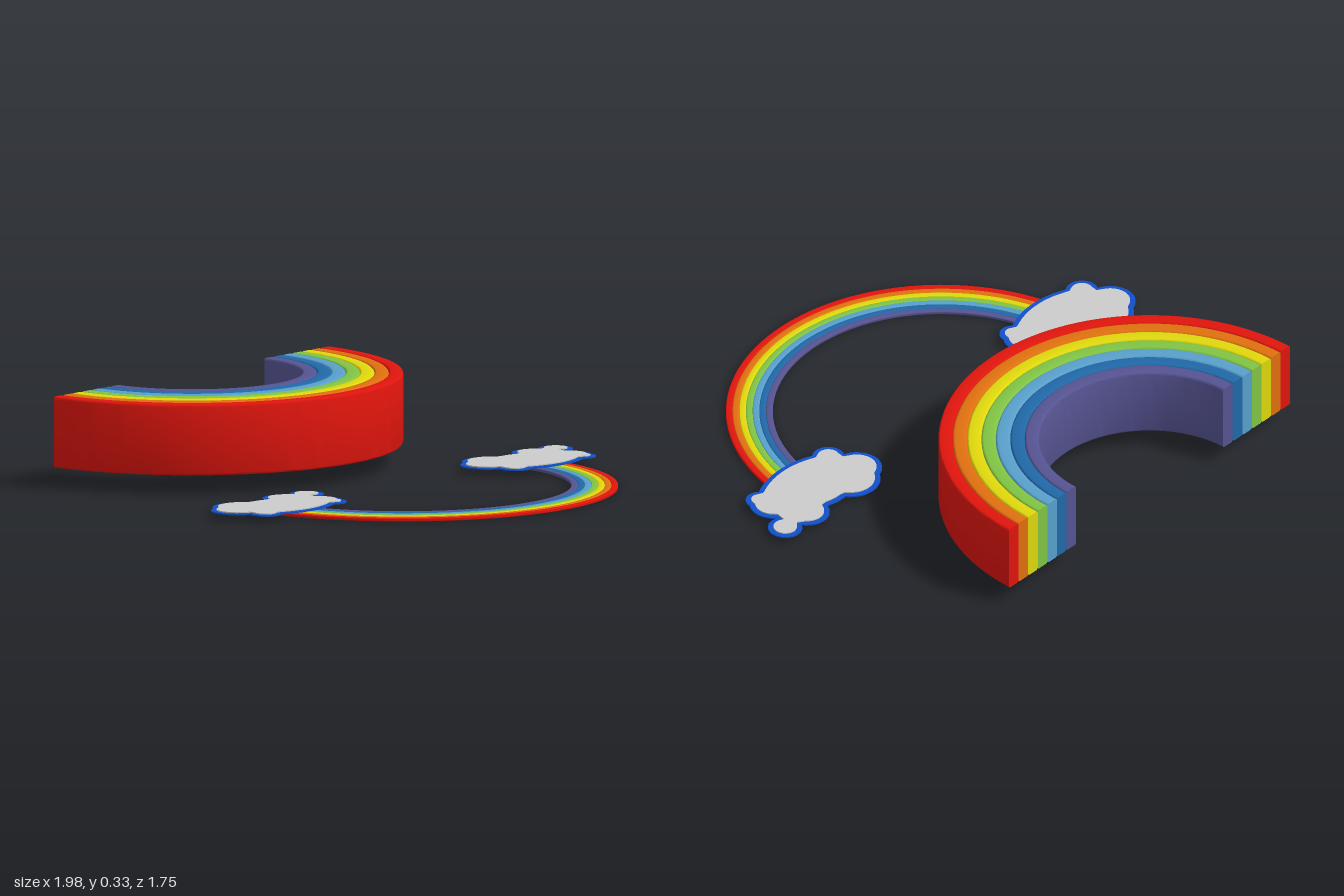
import * as THREE from 'three';
import { mergeGeometries, toCreasedNormals } from 'three/addons/utils/BufferGeometryUtils.js';

// Band colours from the outside in
const COLORS = [0xe0150d, 0xe0700f, 0xe0d80c, 0x80c444, 0x58a0cc, 0x2068a8, 0x565492];

const material = (color) => new THREE.MeshStandardMaterial({ color });

// Rectangular cross-section with rounded corners, counter-clockwise in (radius, height)
function bandProfile(r0, r1, y0, y1, b) {
  const corners = [[r0 + b, y0 + b, 2], [r1 - b, y0 + b, 3], [r1 - b, y1 - b, 0], [r0 + b, y1 - b, 1]];
  const pts = [];
  for (const [x, y, quarter] of corners) {
    for (let i = 0; i <= 3; i++) {
      const a = (quarter + i / 3) * Math.PI / 2;
      pts.push(new THREE.Vector2(x + b * Math.cos(a), y + b * Math.sin(a)));
    }
  }
  return pts;
}

// Half ring on the +z side, closed by flat ends at z = 0
function halfRing(r0, r1, y0, y1, bevel) {
  const profile = bandProfile(r0, r1, y0, y1, bevel);
  const sweep = new THREE.LatheGeometry([...profile, profile[0].clone()], 64, -Math.PI / 2, Math.PI);
  const parts = [toCreasedNormals(sweep, 0.7)];
  for (const side of [1, -1]) {
    const end = new THREE.Shape(profile.map((p) => new THREE.Vector2(p.x * side, p.y)));
    parts.push(new THREE.ShapeGeometry(end).rotateY(Math.PI).toNonIndexed());
  }
  return mergeGeometries(parts);
}

function rainbow(name, inner, outer, y0, y1, bevel) {
  const group = new THREE.Group();
  group.name = name;
  const w = (outer - inner) / COLORS.length;
  COLORS.forEach((color, i) => {
    const r1 = outer - i * w;
    const band = new THREE.Mesh(halfRing(r1 - w, r1, y0, y1, bevel), material(color));
    band.name = `${name}Band${i + 1}`;
    group.add(band);
  });
  return group;
}

// Cloud outline: corner x, corner z, and how far the puff after it swells outward
const PUFFS = [
  [-0.235, -0.123, 0.05], [-0.048, -0.123, 0.005], [0.037, -0.112, 0.047],
  [0.187, -0.123, 0.108], [0.203, -0.037, 0.032], [0.225, 0.096, 0.03],
  [0.14, 0.128, 0.033], [-0.155, 0.133, 0.05], [-0.24, 0.053, 0.065],
];

function cloudOutline() {
  const pts = [];
  PUFFS.forEach(([x, z, swell], i) => {
    const [x2, z2] = PUFFS[(i + 1) % PUFFS.length];
    const dx = x2 - x, dz = z2 - z, chord = Math.hypot(dx, dz);
    const half = 2 * Math.atan(2 * swell / chord);
    const radius = chord / (2 * Math.sin(half));
    for (let k = 0; k < 14; k++) {
      const a = half * (2 * k / 14 - 1);
      const along = (radius * Math.sin(a) + chord / 2) / chord;
      const out = radius * (Math.cos(a) - Math.cos(half)) / chord;
      pts.push(new THREE.Vector2(x + dx * along + dz * out, -(z + dz * along - dx * out)));
    }
  });
  return pts;
}

// Moves a clockwise outline inward by d
function inset(pts, d) {
  const n = pts.length;
  return pts.map((p, i) => {
    const t = pts[(i + 1) % n].clone().sub(pts[(i + n - 1) % n]).normalize();
    return new THREE.Vector2(p.x + t.y * d, p.y - t.x * d);
  });
}

function slab(name, outline, y, height, color) {
  const geometry = new THREE.ExtrudeGeometry(new THREE.Shape(outline), { depth: height, bevelEnabled: false });
  const mesh = new THREE.Mesh(geometry.rotateX(-Math.PI / 2), material(color));
  mesh.position.y = y;
  mesh.name = name;
  return mesh;
}

export function createModel() {
  const model = new THREE.Group();
  model.name = 'rainbowSet';

  // Thick arch, floating behind
  const thick = rainbow('thickRainbow', 0.4, 0.765, 0.07, 0.33, 0.008);
  thick.position.set(-0.045, 0, -0.88);
  model.add(thick);

  // Thin flat arch, lying in front
  const thin = rainbow('thinRainbow', 0.61, 0.78, 0, 0.012, 0.003);
  thin.position.set(0, 0, 0.09);
  model.add(thin);

  // A cloud over each end of the thin arch
  const outline = cloudOutline();
  for (const [name, x] of [['leftCloud', 0.69], ['rightCloud', -0.69]]) {
    const cloud = new THREE.Group();
    cloud.name = name;
    cloud.add(slab('cloudBorder', outline, 0.02, 0.005, 0x1050c8));
    cloud.add(slab('cloudFace', inset(outline, 0.02), 0.025, 0.004, 0xcccccc));
    cloud.position.set(x, 0, 0.107);
    model.add(cloud);
  }
  return model;
}
